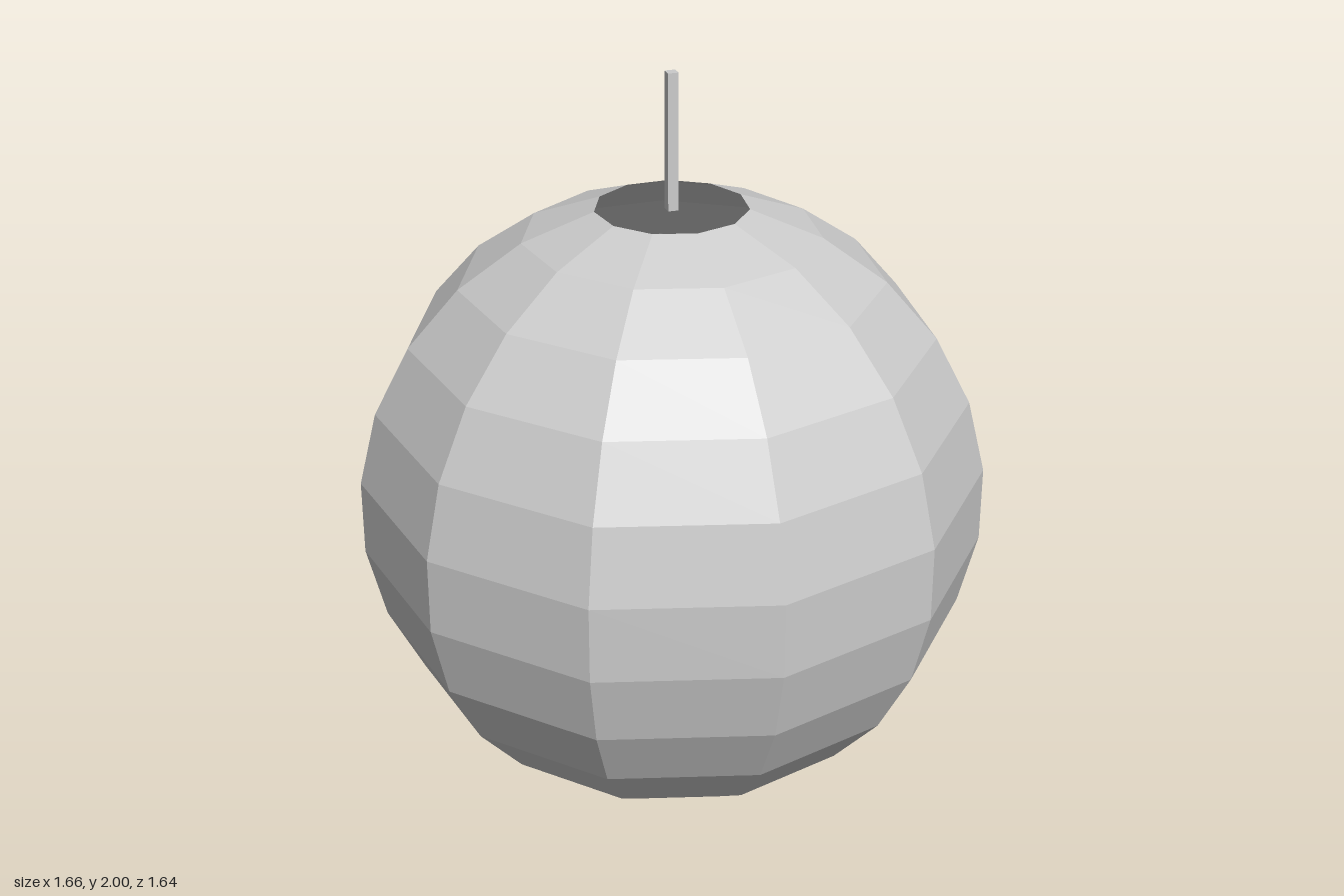
import * as THREE from 'three';

const SIDES = 11, ROWS = 13;          // facets around, latitude steps pole to pole
const RADIUS = 0.844, HALF_HEIGHT = 0.821;
const AXIS_Z = -0.017;                // an odd number of sides sits off centre

export function createModel() {
  const group = new THREE.Group();
  group.name = 'paperLantern';

  // Faceted globe: sphere profile with both pole caps left open
  const yScale = HALF_HEIGHT / Math.cos(Math.PI / ROWS);
  const profile = [];
  for (let i = 1; i < ROWS; i++) {
    const a = Math.PI * (1 - i / ROWS);
    profile.push(new THREE.Vector2(RADIUS * Math.sin(a), HALF_HEIGHT + yScale * Math.cos(a)));
  }
  const shade = new THREE.Mesh(
    new THREE.LatheGeometry(profile, SIDES),
    new THREE.MeshStandardMaterial({ color: 0xcccccc, flatShading: true, side: THREE.DoubleSide })
  );
  shade.name = 'lanternShade';
  shade.position.z = AXIS_Z;
  group.add(shade);

  // Square hanging cord rising from the upper opening
  const bottom = 1.635, top = 2;
  const cord = new THREE.Mesh(
    new THREE.BoxGeometry(0.028, top - bottom, 0.028),
    new THREE.MeshStandardMaterial({ color: 0xcccccc, flatShading: true })
  );
  cord.name = 'hangingCord';
  cord.position.set(0, (top + bottom) / 2, AXIS_Z);
  group.add(cord);

  return group;
}
